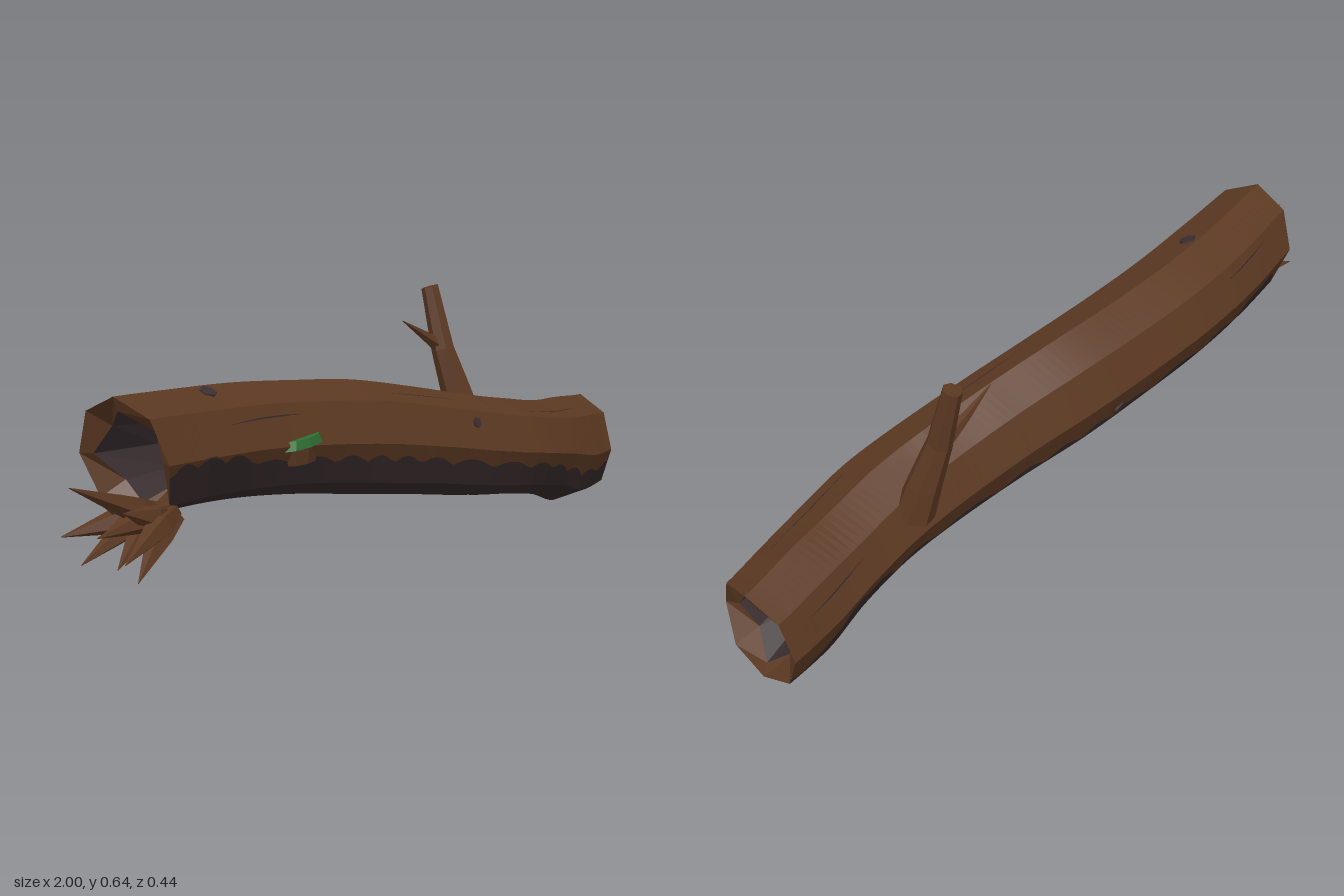
import * as THREE from 'three';

const mat = (name, color) => Object.assign(new THREE.MeshStandardMaterial({ color }), { name });

// Log cross-sections: x, centre y, half height, centre z, half depth
const SECTIONS = [
  [-0.85, 0.392, 0.145, -0.058, 0.125], [-0.6, 0.38, 0.14, -0.075, 0.14], [-0.4, 0.365, 0.14, -0.078, 0.143],
  [-0.2, 0.342, 0.142, -0.06, 0.142], [0, 0.313, 0.147, -0.03, 0.14], [0.2, 0.276, 0.142, 0.015, 0.138],
  [0.4, 0.236, 0.136, 0.055, 0.14], [0.55, 0.209, 0.132, 0.072, 0.142], [0.7, 0.18, 0.133, 0.068, 0.14],
  [0.83, 0.152, 0.149, 0.056, 0.137], [1.0, 0.145, 0.137, 0.038, 0.132],
];
// Jagged end positions at the eight corners, from front over the top to the underside
const LEFT_END = [-0.78, -0.8, -0.82, -0.815, -0.8, -0.77, -0.74, -0.74];
const RIGHT_END = [0.945, 0.97, 1.0, 0.99, 0.985, 0.975, 0.97, 0.965];
const STEP = Math.PI / 4;

function section(x) {
  let i = 0;
  while (i < SECTIONS.length - 2 && x > SECTIONS[i + 1][0]) i++;
  const at = (k) => SECTIONS[Math.min(Math.max(k, 0), SECTIONS.length - 1)];
  const t = (x - at(i)[0]) / (at(i + 1)[0] - at(i)[0]);
  return [1, 2, 3, 4].map((c) => {
    const [a, b, d, e] = [at(i - 1)[c], at(i)[c], at(i + 1)[c], at(i + 2)[c]];
    return b + 0.5 * t * (d - a + t * (2 * a - 5 * b + 4 * d - e + t * (3 * (b - d) + e - a)));
  });
}

// Point on the eight-sided log at a given x and angle, optionally scaled inward
function logPoint(x, angle, scale = 1) {
  const [cy, ry, cz, rz] = section(x);
  const a = ((angle % STEP) + STEP) % STEP;
  const r = scale * Math.cos(STEP / 2) / Math.cos(a - STEP / 2);
  return [x, cy + ry * r * Math.sin(angle), cz + rz * r * Math.cos(angle)];
}

function endAt(list, angle) {
  const k = (((angle / STEP) % 8) + 8) % 8, i = Math.floor(k);
  return THREE.MathUtils.lerp(list[i % 8], list[(i + 1) % 8], k - i);
}

// Faceted sheet from a grid of points
function sheet(rows, cols, point) {
  const p = [], idx = [];
  for (let i = 0; i <= rows; i++) for (let j = 0; j <= cols; j++) p.push(...point(i, j));
  for (let i = 0; i < rows; i++) for (let j = 0; j < cols; j++) {
    const a = i * (cols + 1) + j, b = a + cols + 1;
    idx.push(a, b, a + 1, b, b + 1, a + 1);
  }
  let g = new THREE.BufferGeometry();
  g.setAttribute('position', new THREE.Float32BufferAttribute(p, 3));
  g.setIndex(idx);
  g = g.toNonIndexed();
  g.computeVertexNormals();
  return g;
}

// Tapered faceted limb through points [x, y, z, radius]
function limb(points, sides) {
  const v = points.map((p) => new THREE.Vector3(p[0], p[1], p[2]));
  const n = v.length;
  const dir = v[n - 1].clone().sub(v[0]).normalize();
  const u = new THREE.Vector3(0, 0, 1).cross(dir).normalize(), w = dir.clone().cross(u);
  return sheet(n, sides, (i, j) => {
    const k = Math.min(i, n - 1), r = i === n ? 0 : points[k][3], a = -j / sides * Math.PI * 2;
    return v[k].clone().addScaledVector(u, r * Math.cos(a)).addScaledVector(w, r * Math.sin(a)).toArray();
  });
}

export function createModel() {
  const bark = mat('bark brown', 0x5c3922);
  const dark = mat('damp dark bark', 0x35292a);
  const moss = mat('moss green', 0x2f7034);
  const hollow = mat('hollow wood', 0x3b2f31);
  const group = new THREE.Group();
  const add = (name, geometry, material) => {
    const m = new THREE.Mesh(geometry, material);
    m.name = name;
    group.add(m);
    return m;
  };

  // Scalloped edges between bark and damp underside
  const scallop = (x, f) => Math.abs(Math.sin(x * f + 0.8 * Math.sin(x * 9)));
  const bump = (x, c, w) => Math.max(0, 1 - ((x - c) / w) ** 2);
  const frontEdge = (x) => -0.38 + 0.16 * scallop(x, 27) + 0.25 * bump(x, -0.65, 0.2) - 0.1 * bump(x, 0.8, 0.2);
  const backEdge = (x) => Math.PI * 1.245 - 0.18 * scallop(x, 23) - 0.4 * bump(x, 0.72, 0.13) - 0.35 * bump(x, -0.7, 0.1);
  const N = 90;
  const skin = (angles) => sheet(N, angles(0).length - 1, (i, j) => {
    const a = angles(-0.8 + 1.77 * i / N)[j];
    const x = THREE.MathUtils.lerp(endAt(LEFT_END, a), endAt(RIGHT_END, a), i / N);
    return logPoint(x, a);
  });
  add('upperBark', skin((x) => {
    const f = frontEdge(x), b = backEdge(x);
    return [f, Math.max(0, f), STEP, 2 * STEP, 3 * STEP, Math.min(4 * STEP, b), b];
  }), bark);
  add('dampUnderside', skin((x) => {
    const f = frontEdge(x), b = backEdge(x);
    return [b, Math.max(4 * STEP, b), 5 * STEP, 6 * STEP, 7 * STEP, Math.min(8 * STEP, 8 * STEP + f), 8 * STEP + f];
  }), dark);

  // Splintered rims and hollow bores at both ends
  for (const [side, ends, s] of [['left', RIGHT_END, 1], ['right', LEFT_END, -1]]) {
    const ring = (j, scale, inset) => {
      const a = s * j * STEP;
      return logPoint(endAt(ends, a) - s * inset, a, scale);
    };
    const inner = (j) => (j % 2 ? 0.64 : 0.76);
    const lip = (j) => (j % 2 ? 0.055 : 0.015);
    add(side + 'Rim', sheet(1, 8, (i, j) => (i ? ring(j, inner(j), lip(j)) : ring(j, 1, 0))), bark);
    add(side + 'Hollow', sheet(2, 8, (i, j) =>
      (i === 0 ? ring(j, inner(j), lip(j)) : ring(j, i === 1 ? 0.55 : 0, 0.22))), hollow);
  }

  // Broken branch with a thorny twig
  add('branch', limb([[0.53, 0.26, -0.04, 0.05], [0.515, 0.35, -0.062, 0.043], [0.49, 0.47, -0.092, 0.032],
    [0.481, 0.635, -0.13, 0.024]], 7), bark);
  add('twig', limb([[0.485, 0.475, -0.1, 0.022], [0.42, 0.515, -0.112, 0.012], [0.335, 0.56, -0.115, 0.001]], 5), bark);

  // Splayed root splinters: base z, then tip x, y, z
  const roots = [
    [0.0, -1.0, 0.37, -0.02], [0.04, -0.97, 0.215, 0.11], [-0.04, -0.95, 0.24, -0.1], [0.02, -0.98, 0.265, 0.04],
    [0.05, -0.9, 0.155, 0.08], [-0.02, -0.96, 0.19, -0.03], [0.03, -0.92, 0.31, 0.06], [-0.04, -0.89, 0.33, -0.07],
    [0.0, -0.9, 0.175, 0.02],
  ];
  roots.forEach(([z, tx, ty, tz], i) => {
    const by = 0.262 + 0.012 * (i % 2);
    add('root' + (i + 1), limb([[-0.73, by, z * 0.8, 0.018],
      [-0.81, by + (ty - by) * 0.25, z * 0.7 + tz * 0.3, 0.032], [tx, ty, tz, 0.001]], 5), bark);
  });

  // Small shelf growth with a mossy cap
  const shelf = new THREE.CylinderGeometry(0.07, 0.05, 0.05, 8).toNonIndexed();
  shelf.computeVertexNormals();
  const base = add('shelfBase', shelf, bark);
  base.scale.z = 0.35;
  base.position.set(-0.3, 0.335, 0.05);
  const capGeo = new THREE.CylinderGeometry(0.065, 0.078, 0.022, 9).toNonIndexed();
  capGeo.computeVertexNormals();
  const cap = add('mossCap', capGeo, moss);
  cap.scale.z = 0.42;
  cap.position.set(-0.305, 0.365, 0.052);
  cap.rotation.z = 0.06;

  // Knots lying on the bark: x, angle, radius
  for (const [x, a, r] of [[0.3, 0.55, 0.014], [-0.52, 1.35, 0.022], [-0.1, 3.7, 0.02]]) {
    const p = new THREE.Vector3(...logPoint(x, a, 1.005));
    const knot = add('knot', new THREE.CylinderGeometry(r, r, 0.008, 6), hollow);
    knot.position.copy(p);
    const facet = (Math.floor(a / STEP) + 0.5) * STEP;
    knot.quaternion.setFromUnitVectors(new THREE.Vector3(0, 1, 0), new THREE.Vector3(0, Math.sin(facet), Math.cos(facet)));
  }

  // Fine cracks following the grain: start x, end x, angle
  for (const [x0, x1, a] of [[-0.55, -0.28, 0.5], [0.05, 0.3, 1.1], [0.55, 0.85, 1.0], [-0.7, -0.5, 2.5], [0.7, 0.9, 2.6]]) {
    add('crack', sheet(8, 1, (i, j) => {
      const t = i / 8;
      return logPoint(x0 + (x1 - x0) * t, a + 0.08 * t + (j ? 0.03 * Math.sin(Math.PI * t) : 0), 1.008);
    }), dark);
  }
  return group;
}
